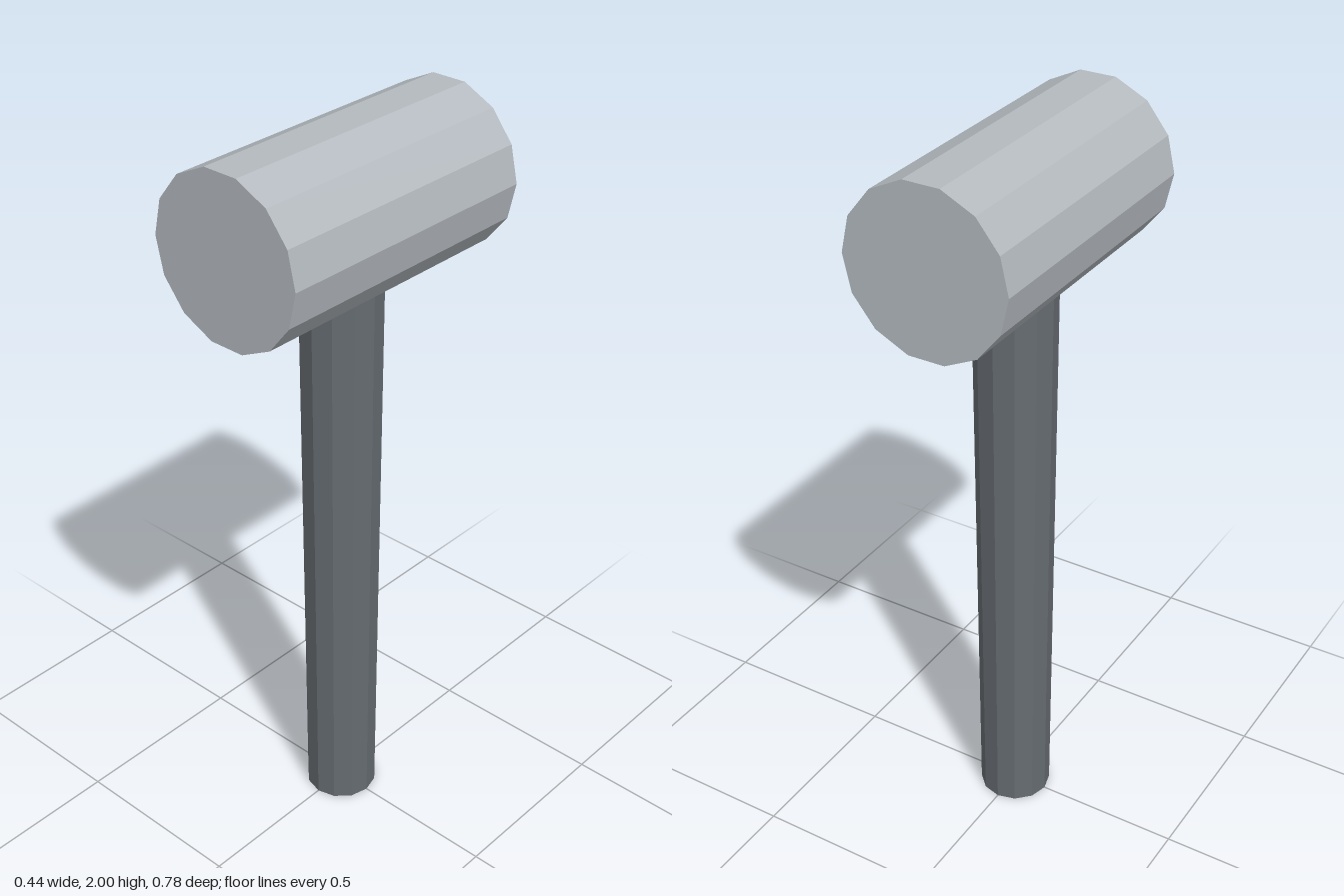
import * as THREE from 'three';

export function createModel() {
  const model = new THREE.Group();
  model.name = 'mallet';

  const headMetal = new THREE.MeshStandardMaterial({ color: 0xb4babf, flatShading: true });
  headMetal.name = 'light grey head';
  const handleGrey = new THREE.MeshStandardMaterial({ color: 0x666c71, flatShading: true });
  handleGrey.name = 'dark grey handle';

  // Fourteen-sided head lying along z, with corners at the sides and flats at top and bottom
  const headRadius = 0.22, headSides = 14;
  const headGeometry = new THREE.CylinderGeometry(headRadius, headRadius, 0.78, headSides);
  headGeometry.rotateY(Math.PI / 2);
  headGeometry.rotateX(Math.PI / 2);
  const head = new THREE.Mesh(headGeometry, headMetal);
  head.name = 'head';
  head.position.y = 2 - headRadius * Math.cos(Math.PI / headSides);
  model.add(head);

  // Twelve-sided handle, widening slightly upward and set into the head
  const handleHeight = 1.66;
  const handle = new THREE.Mesh(
    new THREE.CylinderGeometry(0.108, 0.098, handleHeight, 12),
    handleGrey
  );
  handle.name = 'handle';
  handle.position.y = handleHeight / 2;
  model.add(handle);

  return model;
}
